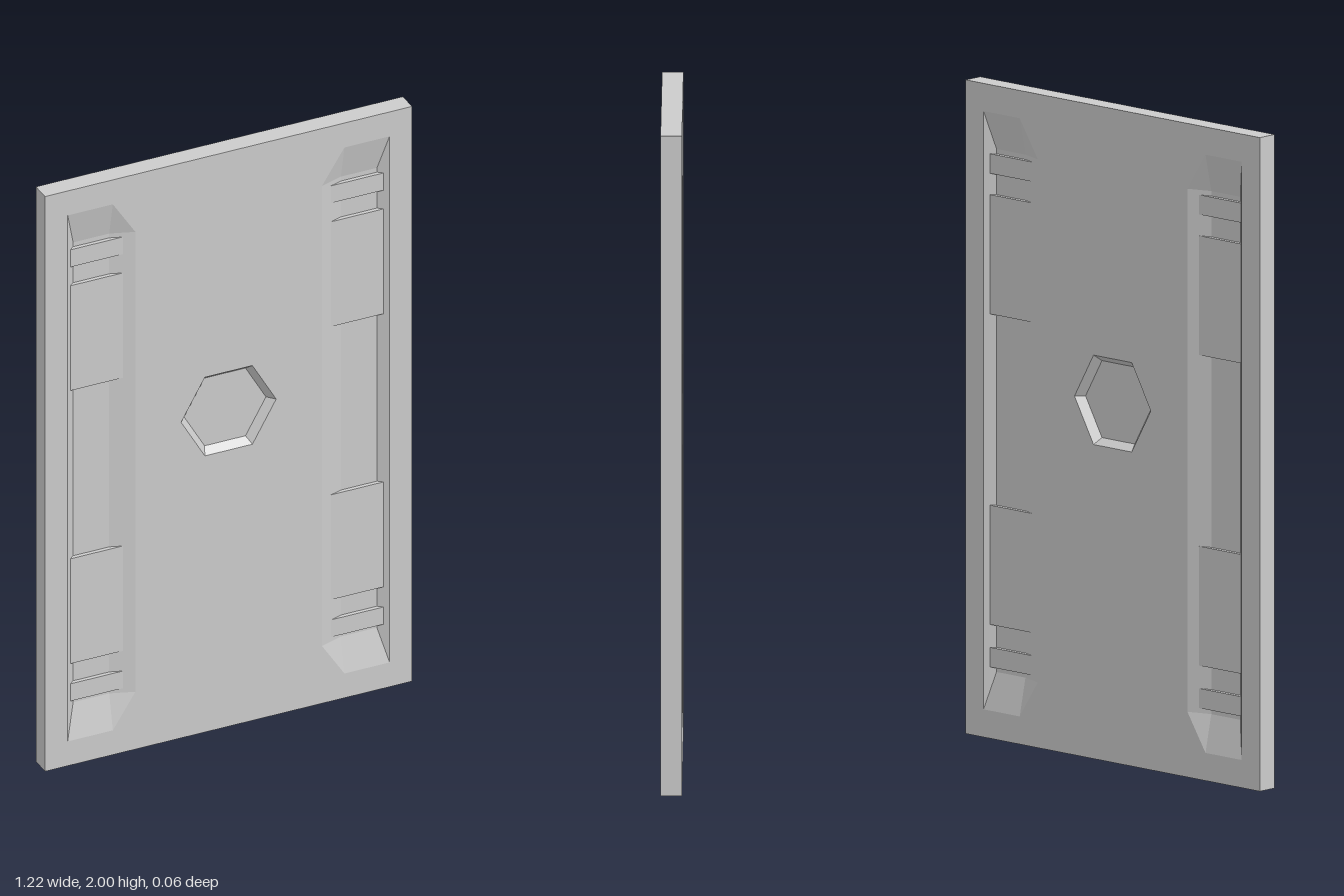
import * as THREE from 'three';

const W = 0.61, H = 2, T = 0.032;   // half width, height, half thickness
const DEPTH = 0.025;                // pocket depth
const BLOCK_DEPTH = 0.012;          // block tops sit below the face
const material = new THREE.MeshStandardMaterial({ color: 0xcccccc, flatShading: true });

function mesh(name, geometry) {
  const m = new THREE.Mesh(geometry, material);
  m.name = name;
  return m;
}

// Sloped walls from an outline (counter-clockwise) down to a smaller floor ring
function pocket(outline, floor) {
  const v = [];
  const n = outline.length;
  const top = i => [...outline[i % n], T];
  const low = i => [...floor[i % n], T - DEPTH];
  for (let i = 0; i < n; i++) {
    v.push(...top(i), ...top(i + 1), ...low(i + 1));
    v.push(...top(i), ...low(i + 1), ...low(i));
    if (i > 0 && i < n - 1) v.push(...low(0), ...low(i), ...low(i + 1));
  }
  const g = new THREE.BufferGeometry();
  g.setAttribute('position', new THREE.Float32BufferAttribute(v, 3));
  g.computeVertexNormals();
  return g;
}

const hexagon = r => Array.from({ length: 6 }, (_, i) => {
  const a = i * Math.PI / 3;
  return [r * Math.cos(a), 1.098 + r * Math.sin(a)];
});

// Side channel on +x, with ramped ends and cut inner corners
const channelOutline = [[0.535, 0.085], [0.535, 1.915], [0.385, 1.915], [0.31, 1.8], [0.31, 0.2], [0.385, 0.085]];
const channelFloor = [[0.505, 0.2], [0.505, 1.8], [0.385, 1.8], [0.385, 1.8], [0.385, 0.2], [0.385, 0.2]];
const turned = points => points.map(([x, y]) => [-x, H - y]);
const blockSpans = [[0.215, 0.275], [0.345, 0.71], [1.295, 1.66], [1.725, 1.785]];

function createSide() {
  const side = new THREE.Group();

  // Flat face, cut open over the pockets
  const toPath = pts => pts.map(p => new THREE.Vector2(...p));
  const face = new THREE.Shape(toPath([[-W, 0], [W, 0], [W, H], [-W, H]]));
  const openings = [channelOutline, turned(channelOutline), hexagon(0.158)];
  openings.forEach(o => face.holes.push(new THREE.Path(toPath(o))));
  side.add(mesh('panelFace', new THREE.ShapeGeometry(face).translate(0, 0, T)));

  side.add(mesh('hexagonRecess', pocket(hexagon(0.158), hexagon(0.136))));
  side.add(mesh('leftChannel', pocket(channelOutline, channelFloor)));
  side.add(mesh('rightChannel', pocket(turned(channelOutline), turned(channelFloor))));

  // Raised blocks and thin bars across the channels
  const bottom = T - DEPTH - 0.002, top = T - BLOCK_DEPTH;
  for (const s of [1, -1]) {
    for (const [y0, y1] of blockSpans) {
      const g = new THREE.BoxGeometry(0.195, y1 - y0, top - bottom);
      g.translate(s * 0.4375, (y0 + y1) / 2, (top + bottom) / 2);
      side.add(mesh('channelBlock', g));
    }
  }
  return side;
}

export function createModel() {
  const model = new THREE.Group();
  model.name = 'recessedPanel';

  const front = createSide();
  front.name = 'frontSide';
  const back = createSide();
  back.name = 'backSide';
  back.rotation.y = Math.PI;
  model.add(front, back);

  // Outer edges of the panel
  for (const s of [1, -1]) {
    const upright = new THREE.PlaneGeometry(2 * T, H).rotateY(s * Math.PI / 2);
    model.add(mesh('sideEdge', upright.translate(s * W, H / 2, 0)));
    const level = new THREE.PlaneGeometry(2 * W, 2 * T).rotateX(-s * Math.PI / 2);
    model.add(mesh(s > 0 ? 'topEdge' : 'bottomEdge', level.translate(0, s > 0 ? H : 0, 0)));
  }
  return model;
}
